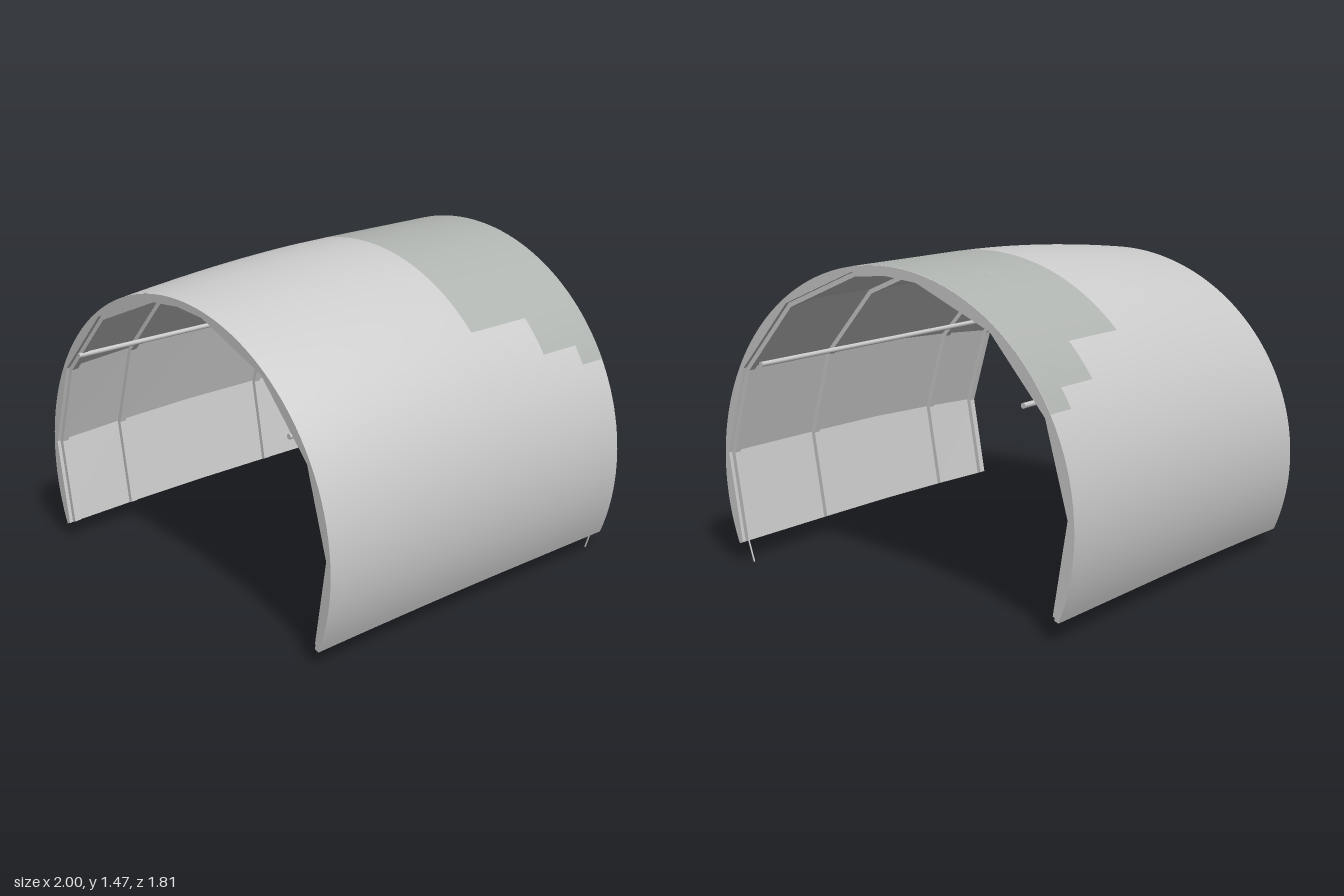
import * as THREE from 'three';

const CENTRE = 0.47, HALF = 0.905, END = 112.4;
// corner angles (degrees from the crown) of the faceted lining and ribs
const CORNERS = [-END, -87, -61.6, -36, -10.3, 0, 10.3, 36, 61.6, 87, END];

// place a point of the round section at depth z; the front end sinks slightly
function bend(x, y, z) {
  const t = Math.max(0, (z + 0.15) / (HALF + 0.15)) ** 1.7;
  const drop = 0.02 + 0.06 * (y - 0.09) / 1.38;
  return [x * (1 - 0.007 * t), y - drop * t, z];
}

function polar(r, deg, z) {
  const a = THREE.MathUtils.degToRad(deg);
  return bend(r * Math.sin(a), CENTRE + r * Math.cos(a), z);
}

// surface through rows of points
function grid(rows, flat = false) {
  const n = rows[0].length, index = [];
  for (let i = 0; i < rows.length - 1; i++) {
    for (let j = 0; j < n - 1; j++) {
      const a = i * n + j, b = a + 1, c = a + n, d = c + 1;
      index.push(a, c, b, b, c, d);
    }
  }
  let g = new THREE.BufferGeometry();
  g.setAttribute('position', new THREE.Float32BufferAttribute(rows.flat(2), 3));
  g.setIndex(index);
  if (flat) g = g.toNonIndexed();
  g.computeVertexNormals();
  return g;
}

const range = (a, b, n) => Array.from({ length: n + 1 }, (_, i) => a + (b - a) * i / n);

export function createModel() {
  const group = new THREE.Group();
  const grey = new THREE.MeshStandardMaterial({ color: 0xcccccc, side: THREE.DoubleSide });
  const panelGrey = new THREE.MeshStandardMaterial({ color: 0xb0b4b0, side: THREE.DoubleSide });
  const add = (name, geometry, material = grey) => {
    const mesh = new THREE.Mesh(geometry, material);
    mesh.name = name;
    group.add(mesh);
    return mesh;
  };

  // smooth outer skin
  const arc = range(-END, END, 96);
  add('outerShell', grid(range(-HALF, HALF, 24).map(z => arc.map(a => polar(1, a, z)))));

  // faceted inner lining
  const LINING = 0.977;
  add('innerLining', grid([-HALF, -0.34, 0.1, 0.53, HALF].map(z =>
    CORNERS.map(a => polar(LINING, a, z))), true));

  // end rims join the round skin to the faceted lining
  for (const z of [-HALF, HALF]) {
    const outer = [], inner = [];
    for (let i = 0; i < CORNERS.length - 1; i++) {
      const p = polar(LINING, CORNERS[i], z), q = polar(LINING, CORNERS[i + 1], z);
      for (const t of range(0, 1, 8)) {
        outer.push(polar(1, CORNERS[i] + (CORNERS[i + 1] - CORNERS[i]) * t, z));
        inner.push(p.map((v, k) => v + (q[k] - v) * t));
      }
    }
    add(z > 0 ? 'frontRim' : 'backRim', grid([outer, inner], true));
  }

  // bottom edge strips
  for (const s of [-1, 1]) {
    add(s > 0 ? 'leftEdgeStrip' : 'rightEdgeStrip',
      grid(range(-HALF, HALF, 12).map(z => [polar(1, s * END, z), polar(LINING, s * END, z)]), true));
  }

  // ribs of rectangular section following the lining corners
  const W = 0.017;
  for (const z of [-0.87, -0.34, 0.53, 0.87]) {
    const section = a => [[0.985, -W], [0.955, -W], [0.955, W], [0.985, W], [0.985, -W]]
      .map(([r, dz]) => polar(r, a, z + dz));
    add('rib', grid(CORNERS.map(section), true));
    for (const a of [-END, END]) { // rib feet
      const c = section(a);
      add('ribFoot', grid([[c[0], c[1]], [c[3], c[2]]], true));
    }
  }

  // stepped overlay panels on the rear roof: [half angle, front z, back z]
  for (const [half, z0, z1] of [[45.2, -0.19, -0.545], [56.1, -0.545, -0.765], [61.6, -0.765, -HALF]]) {
    add('roofPanel', grid([z0, z1].map(z => range(-half, half, 48).map(a => polar(1.0012, a, z)))), panelGrey);
  }

  // lengthwise rails inside each wall
  for (const s of [-1, 1]) {
    const rail = add(s > 0 ? 'leftRail' : 'rightRail', new THREE.CylinderGeometry(0.012, 0.012, 2 * HALF, 10));
    rail.rotation.x = Math.PI / 2;
    rail.position.set(s * 0.745, 0.965, 0);
  }

  // thin stay below the left rear edge
  const top = new THREE.Vector3(0.9, 0.1, -0.87), foot = new THREE.Vector3(0.867, 0.001, -0.87);
  const stay = add('stay', new THREE.CylinderGeometry(0.004, 0.004, top.distanceTo(foot), 8));
  stay.position.lerpVectors(foot, top, 0.5);
  stay.quaternion.setFromUnitVectors(new THREE.Vector3(0, 1, 0), top.clone().sub(foot).normalize());

  return group;
}
